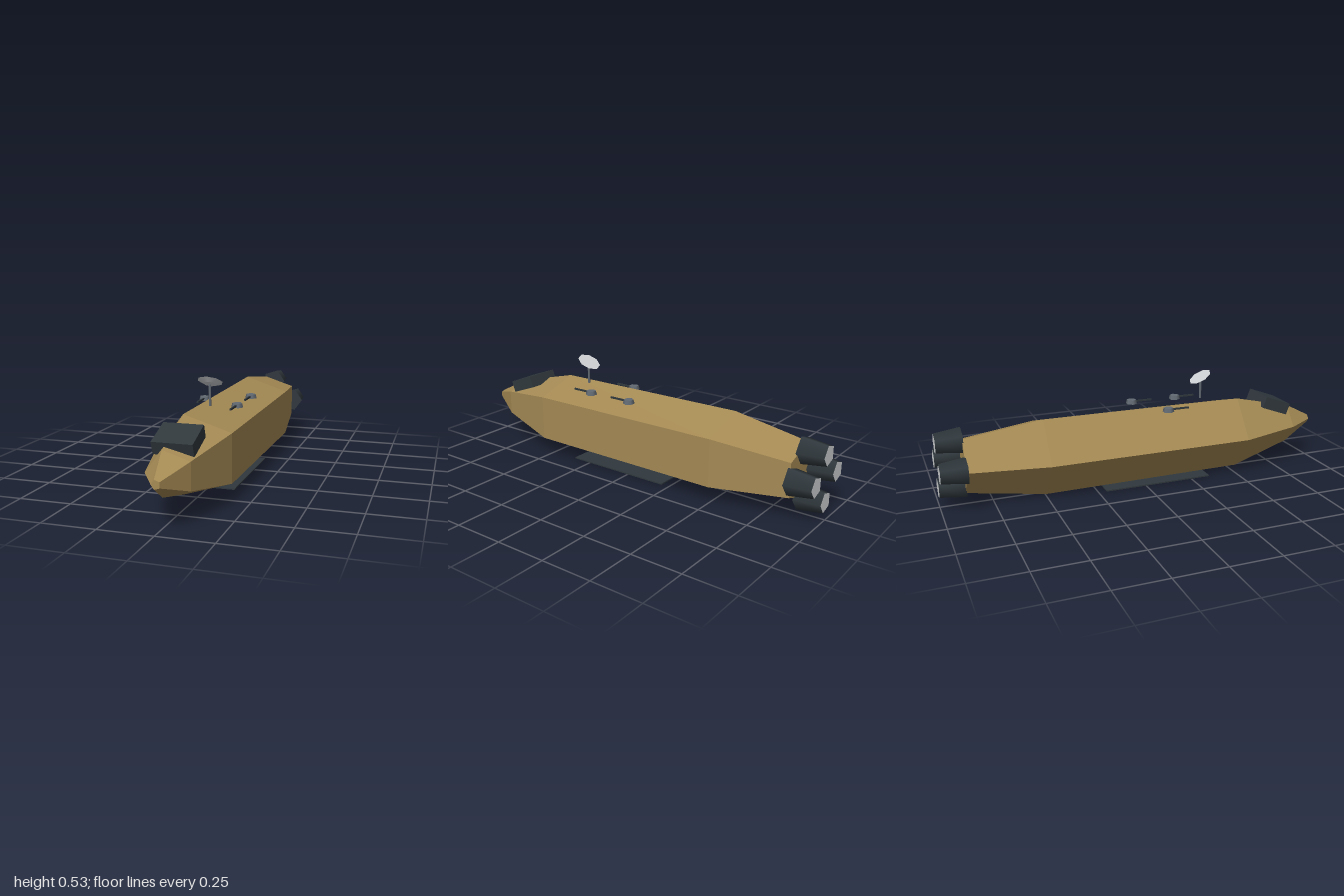
import * as THREE from 'three';

const mat = (name, color, extra = {}) => {
  const m = new THREE.MeshStandardMaterial({ color, ...extra });
  m.name = name;
  return m;
};

// Faceted hull: five-sided rings [z, centreY, radiusX, radiusY], nose to stern
function hullGeometry(rings, centreX) {
  const sides = 5;
  const point = ([z, cy, rx, ry], i) => {
    const a = Math.PI / 5 + (i * 2 * Math.PI) / sides;
    return [centreX + rx * Math.cos(a), cy + ry * Math.sin(a), z];
  };
  const pos = [];
  const tri = (...pts) => pts.forEach((p) => pos.push(...p));
  for (let r = 0; r < rings.length - 1; r++) {
    for (let i = 0; i < sides; i++) {
      const a = point(rings[r], i), b = point(rings[r], i + 1);
      const c = point(rings[r + 1], i), d = point(rings[r + 1], i + 1);
      tri(a, c, b);
      tri(b, c, d);
    }
  }
  // Nose and stern caps
  const nose = rings[0], stern = rings[rings.length - 1];
  for (let i = 0; i < sides; i++) {
    tri([centreX, nose[1], nose[0]], point(nose, i), point(nose, i + 1));
    tri([centreX, stern[1], stern[0]], point(stern, i + 1), point(stern, i));
  }
  const g = new THREE.BufferGeometry();
  g.setAttribute('position', new THREE.Float32BufferAttribute(pos, 3));
  g.computeVertexNormals();
  return g;
}

export function createModel() {
  const root = new THREE.Group();
  root.name = 'spaceship';
  const tan = mat('hullTan', 0xa58a54, { flatShading: true });
  const dark = mat('darkMetal', 0x30383d);
  const grey = mat('turretGrey', 0x626a72);
  const light = mat('lightGrey', 0xcfd2d4);
  const CX = 0.01;

  const add = (parent, name, geometry, material, x, y, z) => {
    const m = new THREE.Mesh(geometry, material);
    m.name = name;
    m.position.set(x, y, z);
    parent.add(m);
    return m;
  };

  // Hull
  add(root, 'hull', hullGeometry([
    [1.0, 0.208, 0.021, 0.021],
    [0.85, 0.206, 0.11, 0.105],
    [0.53, 0.201, 0.2, 0.193],
    [-0.5, 0.2, 0.2, 0.2],
    [-0.88, 0.2, 0.14, 0.14],
  ], CX), tan, 0, 0, 0);

  // Tilted bridge block
  const bridge = add(root, 'bridge', new THREE.BoxGeometry(0.18, 0.06, 0.15), dark, CX, 0.328, 0.75);
  bridge.rotation.x = 0.35;

  // Keel plate
  add(root, 'keelPlate', new THREE.BoxGeometry(0.24, 0.006, 0.56), dark, CX, 0.003, 0.07);

  // Four engines in a diamond, with light exhaust faces
  const engineGeo = new THREE.CylinderGeometry(0.067, 0.05, 0.125, 5, 1, false, Math.PI / 2);
  engineGeo.rotateX(Math.PI / 2);
  for (let i = 0; i < 4; i++) {
    const a = (i * Math.PI) / 2;
    add(root, 'engine', engineGeo, [dark, dark, light],
      CX + 0.11 * Math.cos(a), 0.2 + 0.11 * Math.sin(a), -0.9375);
  }

  // Turrets with forward barrels
  const baseGeo = new THREE.CylinderGeometry(0.024, 0.029, 0.02, 6, 1, false, Math.PI / 6);
  const barrelGeo = new THREE.BoxGeometry(0.008, 0.008, 0.11);
  for (const [x, z] of [[-0.09, 0.125], [0.11, 0.005], [0.11, 0.245]]) {
    const turret = new THREE.Group();
    turret.name = 'turret';
    turret.position.set(x, 0.38, z);
    add(turret, 'turretBase', baseGeo, grey, 0, 0, 0);
    add(turret, 'barrel', barrelGeo, dark, 0, 0, 0.055);
    root.add(turret);
  }

  // Antenna mast and tilted dish
  add(root, 'mast', new THREE.CylinderGeometry(0.006, 0.006, 0.1, 8), grey, CX, 0.44, 0.345);
  const dish = add(root, 'dish', new THREE.CylinderGeometry(0.06, 0.03, 0.014, 8), light, CX, 0.497, 0.345);
  dish.rotation.x = -0.52;

  return root;
}
